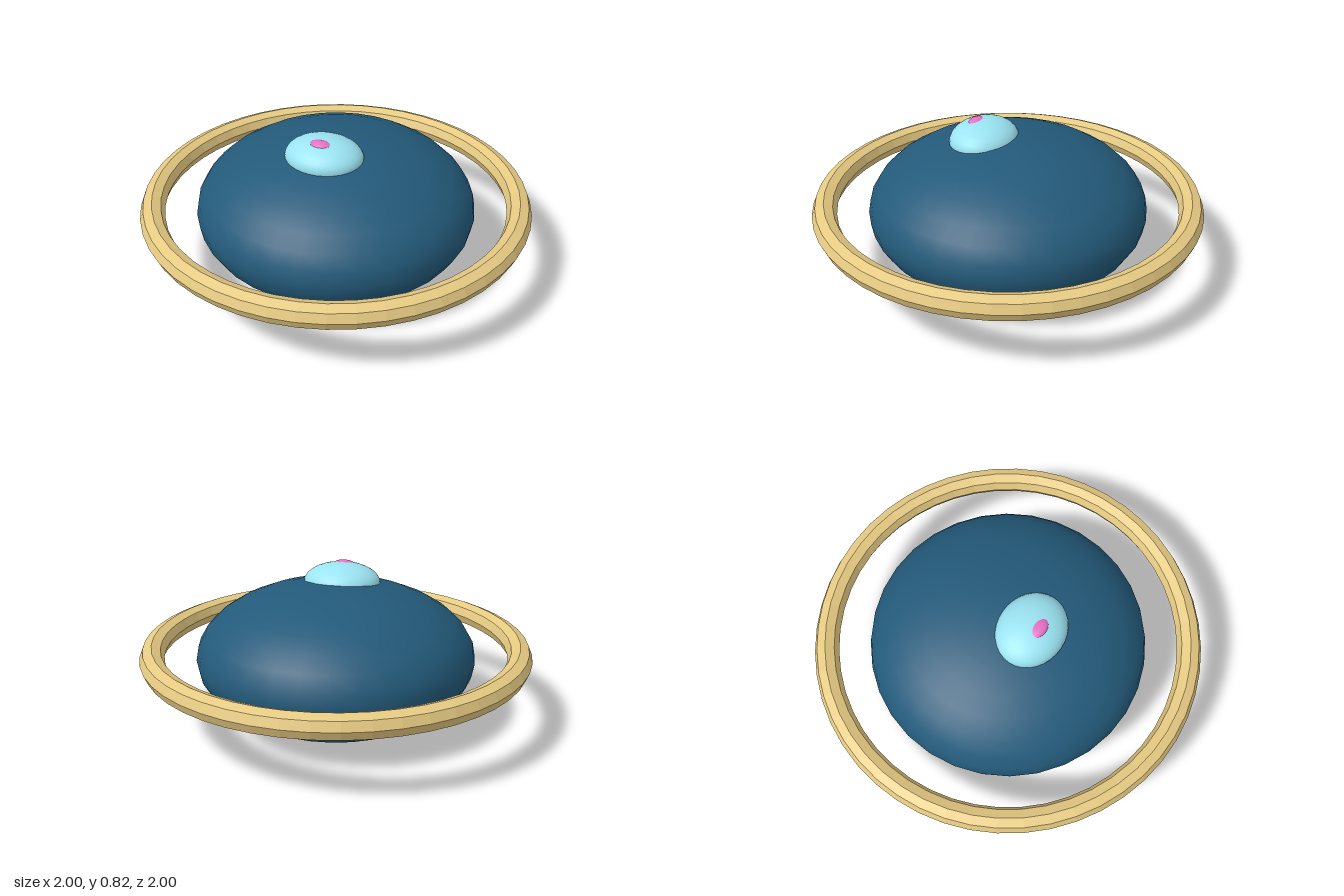
import * as THREE from 'three';

// Sphere squashed into an ellipsoid with the given radii and centre
function ellipsoid(name, color, radii, centre, segments) {
  const geometry = new THREE.SphereGeometry(1, segments, segments / 2);
  geometry.scale(...radii);
  const mesh = new THREE.Mesh(geometry, new THREE.MeshStandardMaterial({ color }));
  mesh.name = name;
  mesh.position.set(...centre);
  return mesh;
}

export function createModel() {
  const group = new THREE.Group();
  group.name = 'ringedSaucer';

  // Flattened hull, canopy set forward of its top, and a small light on the canopy
  group.add(
    ellipsoid('hull', 0x235a7a, [0.717, 0.373, 0.717], [0, 0.373, 0], 32),
    ellipsoid('canopy', 0x9be3f2, [0.2, 0.1, 0.17], [0, 0.72, 0.135], 32),
    ellipsoid('canopyLight', 0xe870c4, [0.057, 0.021, 0.038], [0, 0.804, 0.177], 16)
  );

  // Faceted ring floating around the hull
  const ring = new THREE.Mesh(
    new THREE.TorusGeometry(0.9375, 0.0625, 8, 48),
    new THREE.MeshStandardMaterial({ color: 0xe6ca82, flatShading: true })
  );
  ring.name = 'ring';
  ring.rotation.x = Math.PI / 2;
  ring.position.y = 0.405;
  group.add(ring);

  return group;
}
